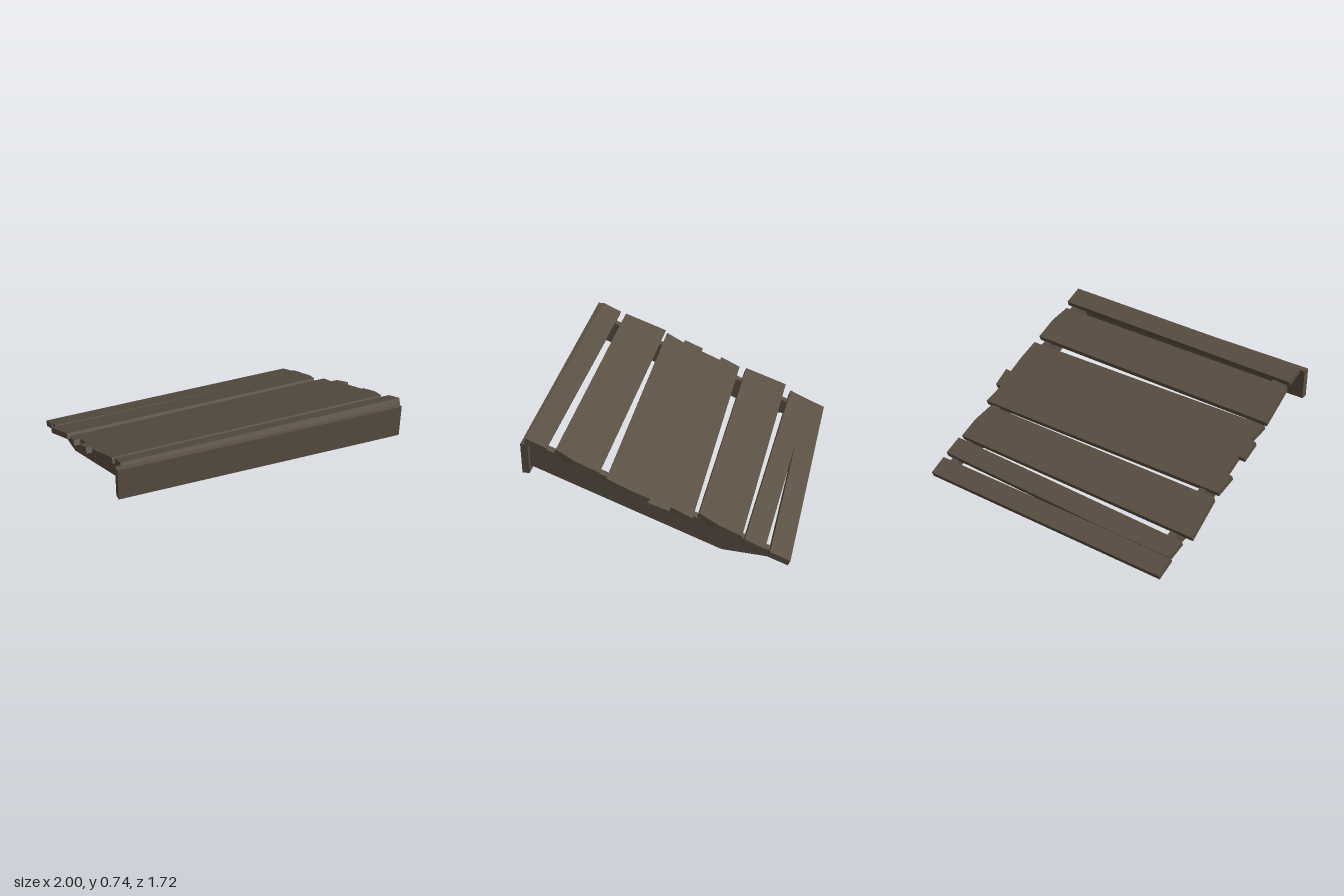
import * as THREE from 'three';

const PITCH = Math.atan(0.413);
const THICK = 0.04;

// Extruded polygon with flat-sided edges
function extrude(points, depth) {
  const shape = new THREE.Shape(points.map(([x, y]) => new THREE.Vector2(x, y)));
  return new THREE.ExtrudeGeometry(shape, { depth, bevelEnabled: false });
}

export function createModel() {
  const model = new THREE.Group();
  model.name = 'plankRoof';
  const wood = new THREE.MeshStandardMaterial({ color: 0x5a4f42 });
  wood.name = 'weatheredWood';

  const add = (geometry, name, parent = model) => {
    const mesh = new THREE.Mesh(geometry, wood);
    mesh.name = name;
    parent.add(mesh);
    return mesh;
  };

  // Sloping deck: uneven plank outlines as plan [x, z], with a small drop below the deck plane
  const deck = new THREE.Group();
  deck.name = 'deck';
  deck.position.y = 0.406;
  deck.rotation.x = -PITCH;
  model.add(deck);

  const planks = [
    { name: 'lowestPlank', drop: 0.01,
      outline: [[-0.955, -0.85], [0.93, -0.86], [0.935, -0.73], [-0.955, -0.715]] },
    { name: 'secondPlank', drop: 0.004,
      outline: [[-0.945, -0.72], [-0.41, -0.72], [0.935, -0.695], [0.935, -0.565], [-0.955, -0.595]] },
    { name: 'thirdPlank', drop: 0,
      outline: [[-1, -0.55], [0.92, -0.545], [0.92, -0.4], [0.89, -0.265], [-0.97, -0.255]] },
    { name: 'brokenMiddlePlank', drop: 0.012,
      outline: [[-0.965, -0.21], [0.955, -0.24], [0.94, -0.1], [0.985, -0.1], [1, 0.035],
        [0.955, 0.03], [0.96, 0.15], [0.955, 0.305], [-0.965, 0.335], [-0.94, 0.205],
        [-0.98, 0.205], [-0.98, 0.07], [-0.935, 0.07], [-0.935, -0.07], [-0.98, -0.07]] },
    { name: 'fifthPlank', drop: 0,
      outline: [[-0.97, 0.35], [0.945, 0.355], [0.945, 0.51], [0.915, 0.64], [-0.945, 0.645]] },
    { name: 'topPlank', drop: 0,
      outline: [[-0.94, 0.68], [0.945, 0.69], [0.945, 0.82], [-0.945, 0.812]] },
  ];
  for (const { name, drop, outline } of planks) {
    const geometry = extrude(outline.map(([x, z]) => [x, -z / Math.cos(PITCH)]), THICK);
    geometry.rotateX(-Math.PI / 2).translate(0, -THICK - drop, 0);
    add(geometry, name, deck);
  }

  // Two slightly skewed rafters with a cut-off lower corner, profile as [z, y]
  const profile = [[0.815, 0.704], [0.815, 0.53], [-0.41, 0.04], [-0.84, 0.016], [-0.84, 0.022]];
  for (const [name, x] of [['rightRafter', -0.845], ['leftRafter', 0.875]]) {
    const geometry = extrude(profile, 0.05);
    geometry.rotateY(-Math.PI / 2).translate(0.025, 0, 0);
    // The profile's first axis now runs along +z
    const rafter = add(geometry, name);
    rafter.position.x = x;
    rafter.rotation.y = 0.016;
  }

  // Upright board closing the high edge
  const fascia = add(
    extrude([[-0.98, 0.51], [0.94, 0.485], [0.945, 0.7], [-0.98, 0.722]], 0.047), 'fasciaBoard');
  fascia.position.z = 0.812;

  return model;
}
